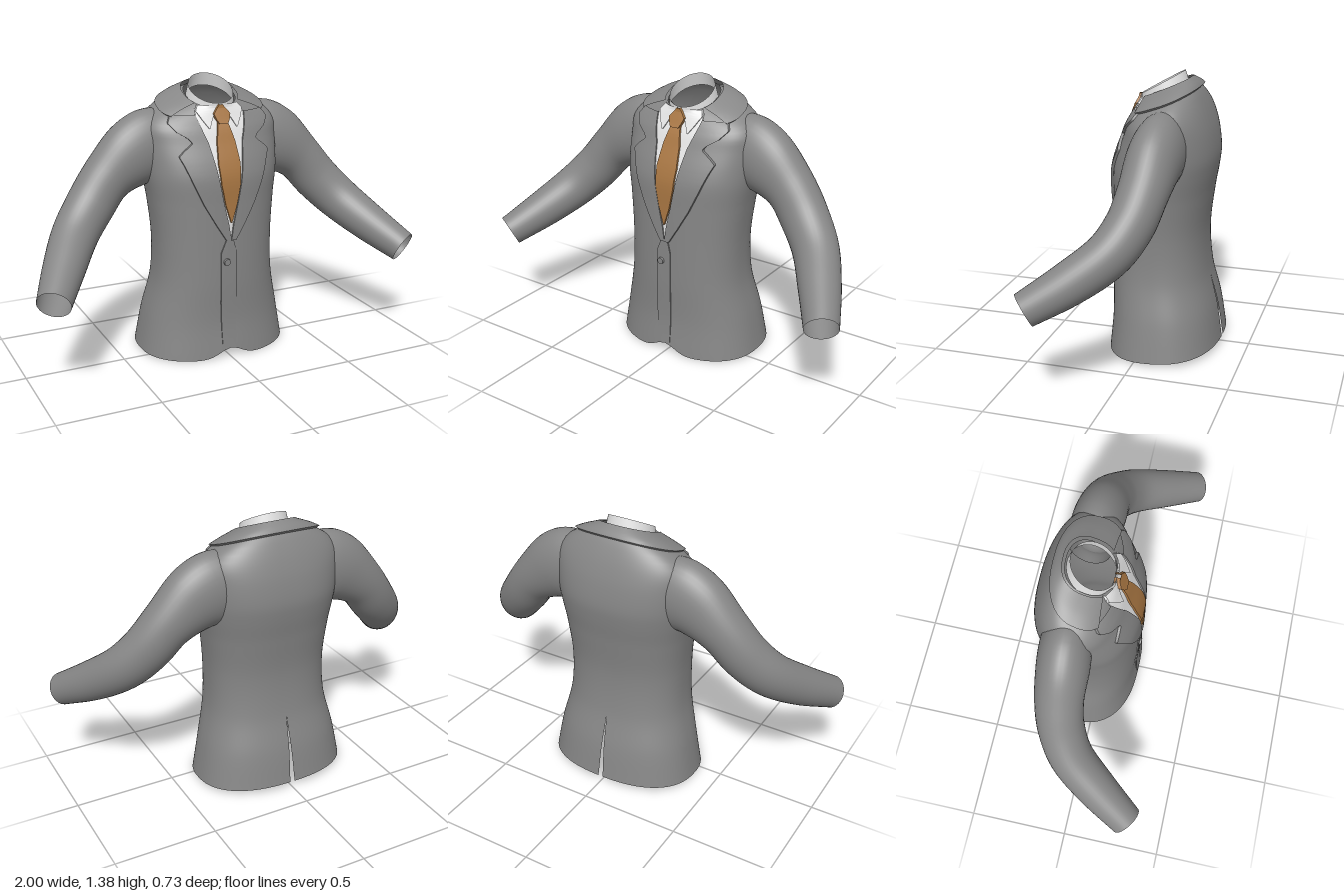
import * as THREE from 'three';
import { mergeVertices, toCreasedNormals } from 'three/addons/utils/BufferGeometryUtils.js';

const mat = (name, color) => {
  const m = new THREE.MeshStandardMaterial({ color, side: THREE.DoubleSide });
  m.name = name;
  return m;
};

// Torso rings: height, half width, front z, back z, backward tilt
const RINGS = [
  [0.02, 0.388, 0.197, -0.362, 0.06], [0.2, 0.355, 0.182, -0.335, 0.04],
  [0.4, 0.312, 0.184, -0.29, 0], [0.6, 0.305, 0.182, -0.275, 0],
  [0.8, 0.322, 0.178, -0.295, 0], [0.92, 0.34, 0.174, -0.314, 0],
  [1.0, 0.347, 0.155, -0.32, 0], [1.1, 0.35, 0.118, -0.305, 0.03],
  [1.17, 0.345, 0.095, -0.28, 0.1], [1.225, 0.3, 0.073, -0.25, 0.2],
  [1.27, 0.215, 0.058, -0.215, 0.33], [1.3, 0.125, 0.045, -0.175, 0.42],
];
const POWER = 2.4;

// Smooth lookup of the ring at height v
function ringAt(v) {
  const last = RINGS.length - 1;
  v = THREE.MathUtils.clamp(v, RINGS[0][0], RINGS[last][0]);
  let i = 0;
  while (i < last - 1 && v > RINGS[i + 1][0]) i++;
  const a = RINGS[i], b = RINGS[i + 1], p = RINGS[Math.max(i - 1, 0)], n = RINGS[Math.min(i + 2, last)];
  const h = b[0] - a[0], t = (v - a[0]) / h, t2 = t * t, t3 = t2 * t;
  const f = (k) => {
    const ma = (b[k] - p[k]) / (b[0] - p[0]) * h, mb = (n[k] - a[k]) / (n[0] - a[0]) * h;
    return (2 * t3 - 3 * t2 + 1) * a[k] + (t3 - 2 * t2 + t) * ma + (3 * t2 - 2 * t3) * b[k] + (t3 - t2) * mb;
  };
  const zf = f(2), zb = f(3);
  return { w: f(1), zc: (zf + zb) / 2, d: (zf - zb) / 2, tilt: f(4) };
}

const spow = (c) => Math.sign(c) * Math.pow(Math.abs(c), 2 / POWER);

// Point on the torso; angle 0 is the front, grow pushes it outwards
function torsoPoint(v, angle, grow = 0) {
  const r = ringAt(v);
  const x = (r.w + grow) * spow(Math.sin(angle)), dz = (r.d + grow) * spow(Math.cos(angle));
  return [x, v - r.tilt * dz, r.zc + dz];
}

// Front z of the torso at (x, y)
function frontZ(x, y) {
  let lo = RINGS[0][0], hi = 1.3, z = 0;
  for (let i = 0; i < 24; i++) {
    const v = (lo + hi) / 2, r = ringAt(v);
    const dz = r.d * Math.pow(Math.max(0, 1 - Math.pow(Math.abs(x) / r.w, POWER)), 1 / POWER);
    z = r.zc + dz;
    if (v - r.tilt * dz < y) lo = v; else hi = v;
  }
  return z;
}

// Surface from a grid of points
function grid(nu, nv, fn) {
  const pos = [], index = [];
  for (let j = 0; j <= nv; j++) for (let i = 0; i <= nu; i++) pos.push(...fn(i / nu, j / nv, i));
  for (let j = 0; j < nv; j++) for (let i = 0; i < nu; i++) {
    const a = j * (nu + 1) + i, c = a + nu + 1;
    index.push(a, a + 1, c, a + 1, c + 1, c);
  }
  let g = new THREE.BufferGeometry();
  g.setAttribute('position', new THREE.Float32BufferAttribute(pos, 3));
  g.setIndex(index);
  g = mergeVertices(g, 1e-5);
  g.computeVertexNormals();
  return g;
}

function lookup(rows, y) {
  let i = 0;
  while (i < rows.length - 2 && y > rows[i + 1][0]) i++;
  const t = (y - rows[i][0]) / (rows[i + 1][0] - rows[i][0]);
  return [1, 2].map((k) => THREE.MathUtils.lerp(rows[i][k], rows[i + 1][k], t));
}

// Layer lying on the chest; rows are [y, x from, x to], edges fold down to the cloth
function panel(rows, lift, side = 1, base = 0) {
  const y0 = rows[0][0], y1 = rows[rows.length - 1][0], nu = 12;
  const g = grid(nu, 80, (u, v, i) => {
    const y = y0 + (y1 - y0) * v, [a, b] = lookup(rows, y);
    const t = THREE.MathUtils.clamp((i - 1) / (nu - 2), 0, 1);
    const x = a + (b - a) * t;
    return [x * side, y, frontZ(x, y) + (i === 0 || i === nu ? base : lift)];
  });
  if (side < 0) {
    const ix = g.index.array;
    for (let i = 0; i < ix.length; i += 3) [ix[i], ix[i + 1]] = [ix[i + 1], ix[i]];
  }
  return toCreasedNormals(g, 0.8);
}

export function createModel() {
  const suit = mat('suitGrey', 0x868686);
  const white = mat('shirtWhite', 0xe2e2e2);
  const brown = mat('tieBrown', 0xa87642);
  const model = new THREE.Group();
  model.name = 'suitJacket';
  const add = (name, geo, material) => {
    const m = new THREE.Mesh(geo, material);
    m.name = name;
    model.add(m);
    return m;
  };

  // Jacket body with cutaway front hem and rear vent
  add('jacketBody', grid(96, 60, (u, t) => {
    const v = 0.02 + 1.28 * t, angle = (u * 2 - 1) * Math.PI;
    let [x, y, z] = torsoPoint(v, angle);
    if (u === 0 || u === 1) x = 0;
    if (Math.cos(angle) > 0) y += 0.05 * Math.exp(-((x / 0.08) ** 2)) * Math.max(0, 1 - (v - 0.02) / 0.2);
    else if (v < 0.38) x += (u < 0.5 ? -1 : 1) * 0.013 * (1 - v / 0.38) * Math.exp(-((x / 0.06) ** 2));
    return [x, y, z];
  }), suit);

  // Sleeves: centre path and [half height, half depth]
  const path = new THREE.CatmullRomCurve3([
    [0.2, 1.07, -0.12], [0.3, 1.06, -0.115], [0.4, 1.02, -0.108], [0.525, 0.925, -0.1],
    [0.625, 0.805, -0.07], [0.725, 0.695, 0.0], [0.825, 0.59, 0.14], [0.93, 0.487, 0.312],
  ].map((p) => new THREE.Vector3(...p)), false, 'catmullrom');
  const sizes = new THREE.CatmullRomCurve3([
    [0.16, 0.11], [0.183, 0.122], [0.167, 0.124], [0.127, 0.115],
    [0.12, 0.11], [0.113, 0.105], [0.1, 0.098], [0.08, 0.08],
  ].map((p) => new THREE.Vector3(p[0], p[1], 0)), false, 'catmullrom');
  for (const side of [1, -1]) {
    add(side > 0 ? 'leftSleeve' : 'rightSleeve', grid(36, 42, (u, t) => {
      const c = path.getPoint(t), s = sizes.getPoint(t), dir = path.getTangent(t);
      const depth = new THREE.Vector3(0, 0, 1).addScaledVector(dir, -dir.z).normalize();
      const up = new THREE.Vector3().crossVectors(depth, dir);
      const a = (u === 1 ? 0 : u) * Math.PI * 2 * -side;
      c.addScaledVector(up, s.x * Math.cos(a)).addScaledVector(depth, s.y * Math.sin(a));
      return [c.x * side, c.y, c.z];
    }), suit);
  }

  // Notched lapels
  const lapel = [
    [0.62, 0, 0.025], [0.7, 0.012, 0.075], [0.8, 0.035, 0.132], [0.9, 0.055, 0.178], [1.0, 0.072, 0.217],
    [1.04, 0.079, 0.235], [1.065, 0.083, 0.21], [1.1, 0.09, 0.165], [1.12, 0.098, 0.182],
    [1.15, 0.108, 0.23], [1.19, 0.12, 0.262], [1.225, 0.128, 0.24],
  ];
  add('leftLapel', panel(lapel, 0.014), suit);
  add('rightLapel', panel(lapel, 0.012, -1), suit);

  // Jacket collar round the back of the neck
  add('jacketCollar', toCreasedNormals(grid(10, 56, (u, t, i) => {
    const angle = THREE.MathUtils.lerp(0.9, Math.PI * 2 - 0.9, t);
    const outer = THREE.MathUtils.lerp(1.237, 1.262, Math.sin(t * Math.PI));
    const v = THREE.MathUtils.lerp(1.3, outer, Math.min(i / 9, 1));
    const [x, y, z] = torsoPoint(v, angle, i === 10 ? 0 : 0.012);
    return [x, y + (i === 10 ? 0 : 0.01), z];
  }), 0.8), suit);

  // Overlapping front edge and button
  add('frontEdge', panel([[0.06, -0.045, 0.03], [0.3, -0.052, 0.03], [0.56, -0.05, 0.03], [0.64, -0.015, 0.01]], 0.006), suit);
  const button = add('button', new THREE.CylinderGeometry(0.016, 0.018, 0.012, 24), suit);
  button.rotation.x = Math.PI / 2;
  button.position.set(-0.022, 0.51, frontZ(-0.022, 0.51) + 0.01);

  // Shirt front, collar band and collar points
  add('shirtFront', panel([[0.63, -0.01, 0.01], [0.8, -0.045, 0.045], [1.1, -0.1, 0.1], [1.2, -0.13, 0.13], [1.25, -0.12, 0.12]], 0.005), white);
  add('shirtCollarBand', grid(56, 6, (u, t) => {
    const a = (u === 1 ? 0 : u) * Math.PI * 2;
    const w = THREE.MathUtils.lerp(0.122, 0.11, t), d = THREE.MathUtils.lerp(0.114, 0.105, t);
    const dz = d * Math.cos(a);
    return [w * Math.sin(a), THREE.MathUtils.lerp(1.26, 1.33, t) - 0.56 * dz, THREE.MathUtils.lerp(-0.058, -0.047, t) + dz];
  }), white);
  const point = [[1.16, 0.07, 0.074], [1.2, 0.05, 0.1], [1.24, 0.025, 0.122], [1.265, 0.01, 0.105]];
  add('leftCollarPoint', panel(point, 0.014), white);
  add('rightCollarPoint', panel(point, 0.014, -1), white);

  // Tie blade and knot
  add('tieBlade', panel([
    [0.71, -0.002, 0.002], [0.8, -0.03, 0.03], [0.9, -0.05, 0.05], [1.0, -0.057, 0.057],
    [1.1, -0.047, 0.047], [1.19, -0.025, 0.025],
  ], 0.016), brown);
  add('tieKnot', panel([
    [1.18, -0.022, 0.022], [1.2, -0.034, 0.034], [1.225, -0.043, 0.043], [1.25, -0.022, 0.022], [1.268, -0.008, 0.008],
  ], 0.028), brown);

  return model;
}
